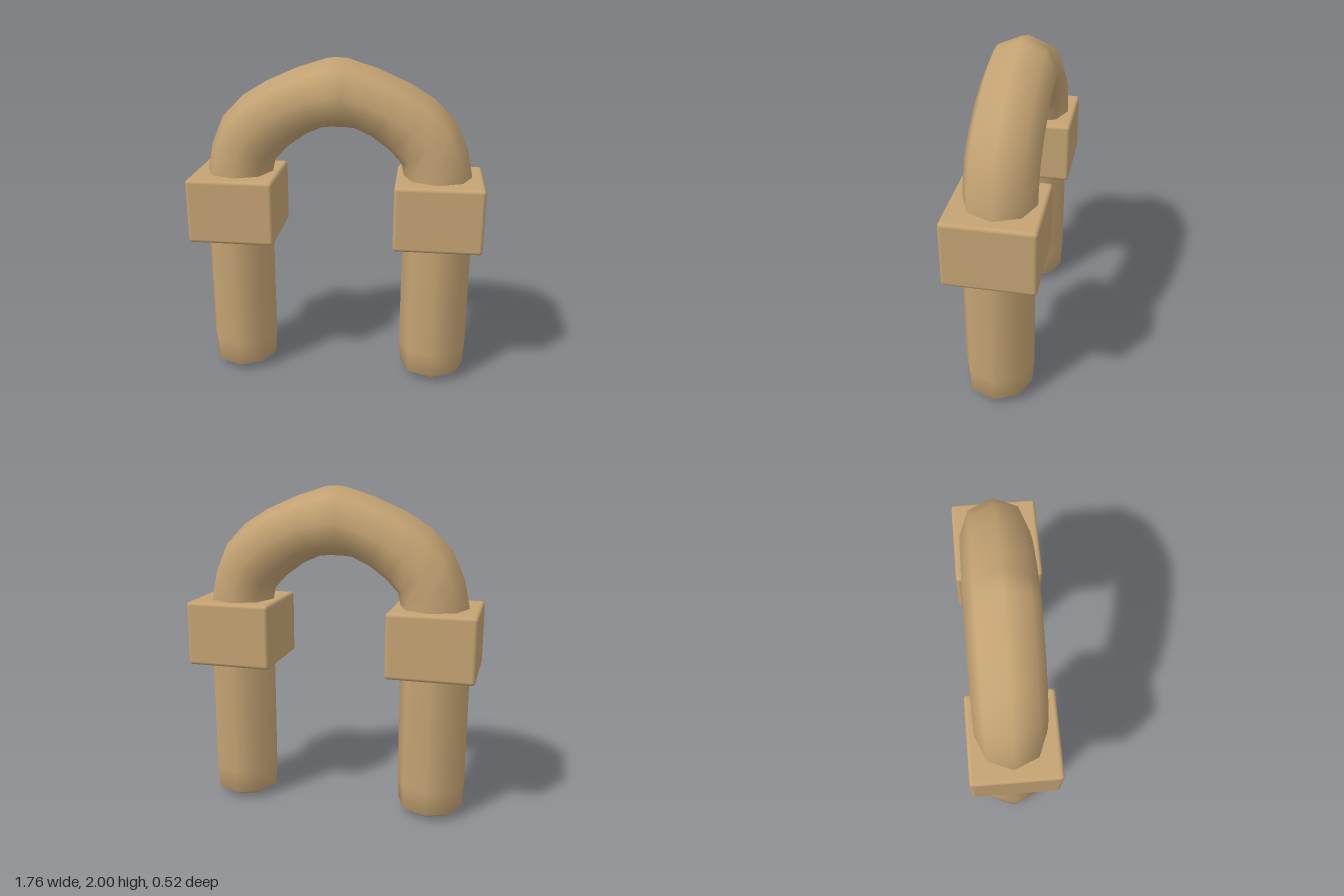
import * as THREE from 'three';
import { RoundedBoxGeometry } from 'three/addons/geometries/RoundedBoxGeometry.js';

const SIDES = 8;

// Octagonal tube swept through rings given by their outer and inner edge points
function archGeometry() {
  const half = [ // outer x, y, inner x, y
    [0.81, 1.2, 0.4, 1.2],
    [0.81, 1.3, 0.4, 1.28],
    [0.775, 1.47, 0.4, 1.31],
    [0.7, 1.64, 0.385, 1.38],
    [0.57, 1.77, 0.31, 1.46],
    [0.42, 1.86, 0.2, 1.54],
    [0.235, 1.94, 0.1, 1.585],
    [0.055, 1.997, 0.03, 1.592],
  ];
  const top = [0, 2, 0, 1.59];
  const mirrored = half.map(([a, b, c, d]) => [-a, b, -c, d]).reverse();
  const rings = [...half, top, ...mirrored];
  const positions = [], index = [];
  rings.forEach(([ox, oy, ix, iy], i) => {
    for (let j = 0; j < SIDES; j++) {
      const a = (j / SIDES) * Math.PI * 2;
      const k = (1 + Math.cos(a)) / 2;
      positions.push(ix + (ox - ix) * k, iy + (oy - iy) * k, -0.012 + 0.205 * Math.sin(a));
      if (i < rings.length - 1) {
        const n = (j + 1) % SIDES;
        const p = i * SIDES + j, q = p + SIDES, r = i * SIDES + n, s = r + SIDES;
        index.push(p, q, r, q, s, r);
      }
    }
  });
  const g = new THREE.BufferGeometry();
  g.setAttribute('position', new THREE.Float32BufferAttribute(positions, 3));
  g.setIndex(index);
  g.computeVertexNormals();
  return g;
}

export function createModel() {
  const model = new THREE.Group();
  const tan = new THREE.MeshStandardMaterial({ color: 0xc4a373 });
  tan.name = 'tan';

  const add = (name, geometry, x = 0, y = 0, z = 0) => {
    const mesh = new THREE.Mesh(geometry, tan);
    mesh.name = name;
    mesh.position.set(x, y, z);
    model.add(mesh);
  };

  // Curved top
  add('arch', archGeometry());

  // Leg with a softly rounded foot
  const profile = [[0, 0.004], [0.14, 0.012], [0.2, 0.05], [0.21, 0.2], [0.21, 1]]
    .map(([r, y]) => new THREE.Vector2(r, y));
  const leg = new THREE.LatheGeometry(profile, SIDES);
  const collar = new RoundedBoxGeometry(0.523, 0.395, 0.523, 3, 0.022);

  // Leg and square collar on each side
  for (const [side, s] of [['left', 1], ['right', -1]]) {
    add(side + 'Leg', leg, s * 0.615, 0, 0);
    add(side + 'Collar', collar, s * 0.617, 1.1095, 0);
  }
  return model;
}
